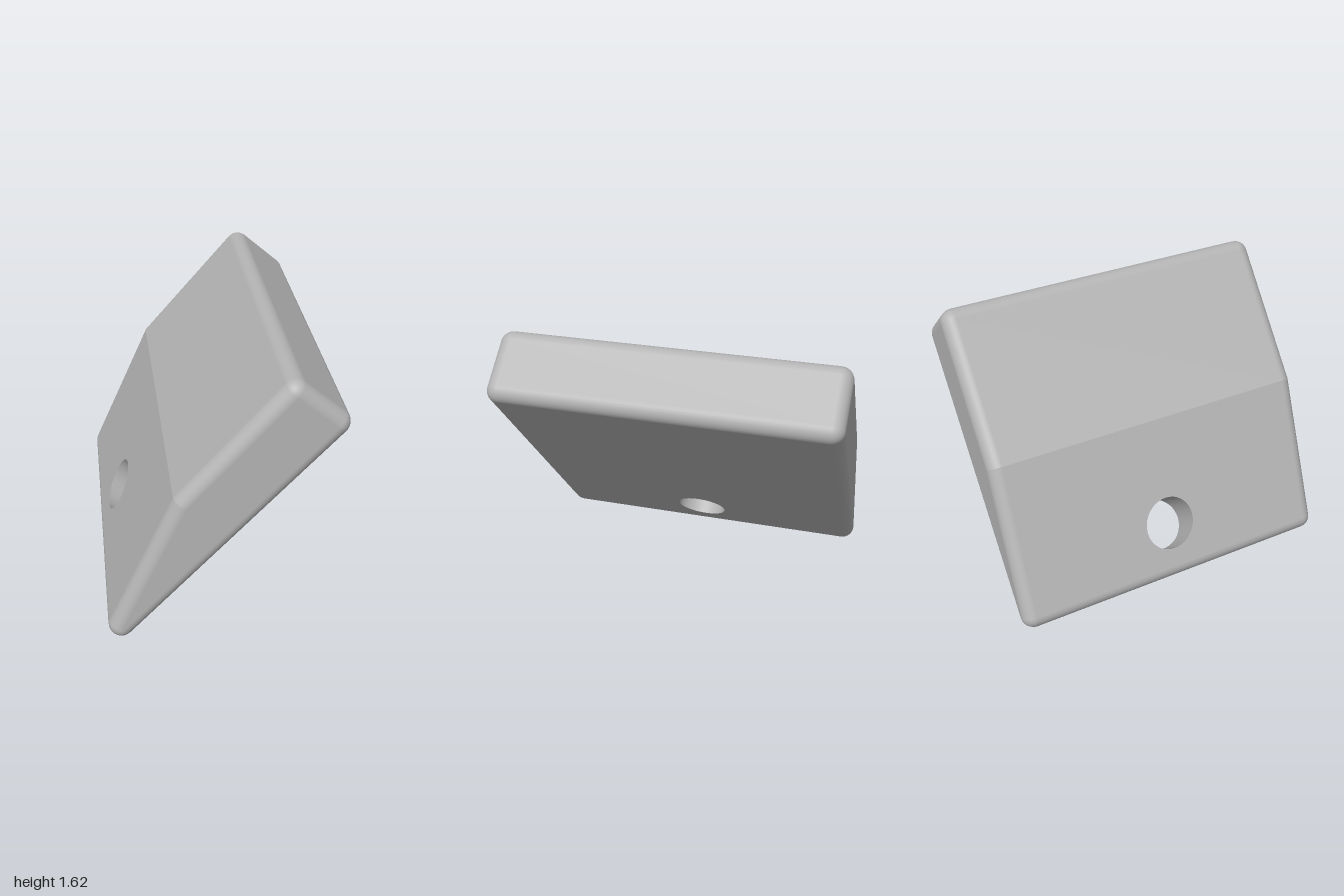
import * as THREE from 'three';

const R = 0.075;        // edge rounding
const ZF = 1 - R;       // half depth of the flat faces
const HOLE_R = 0.155;
const ARC = 8;

// Core polygon (x, y), counter-clockwise; the skin lies R outside it
const core = [[-0.575, 0.075], [0.57, 1.355], [0.35, 1.545], [-0.205, 0.907]]
  .map(([x, y]) => new THREE.Vector2(x, y));
const TIP = 0, KINK = 3;

const edgeNormal = (i) => {
  const d = core[(i + 1) % 4].clone().sub(core[i % 4]).normalize();
  return new THREE.Vector2(d.y, -d.x);
};

// Profile entries: core vertex, offset direction and normal
function makeProfile() {
  const profile = [], edges = [];
  core.forEach((v, i) => {
    const n0 = edgeNormal(i + 3), n1 = edgeNormal(i);
    if (i === KINK) {
      // Sharp crease: mitred offset shared by both faces
      const m = n0.clone().add(n1).divideScalar(1 + n0.dot(n1));
      profile.push({ v, o: m, n: n0 }, { v, o: m, n: n1 });
    } else {
      const a0 = n0.angle();
      const turn = (n1.angle() - a0 + 2 * Math.PI) % (2 * Math.PI);
      for (let k = 0; k <= ARC; k++) {
        const a = a0 + turn * k / ARC;
        const n = new THREE.Vector2(Math.cos(a), Math.sin(a));
        profile.push({ v, o: n, n });
      }
    }
    edges[i] = profile.length - 1; // flat segment that starts here
  });
  return { profile, edges };
}

function buffer(pos, nor, idx) {
  const g = new THREE.BufferGeometry();
  g.setAttribute('position', new THREE.Float32BufferAttribute(pos, 3));
  g.setAttribute('normal', new THREE.Float32BufferAttribute(nor, 3));
  g.setIndex(idx);
  return g;
}

// Rounded skin, leaving open the two flat faces pierced by the hole
function skinGeometry(profile, openSegments) {
  const pos = [], nor = [], idx = [], rings = [];
  for (let k = 0; k <= ARC; k++) rings.push([-Math.PI / 2 * (1 - k / ARC), -ZF]);
  for (let k = 0; k <= ARC; k++) rings.push([Math.PI / 2 * k / ARC, ZF]);
  const n = profile.length;
  rings.forEach(([phi, z], j) => {
    const c = Math.cos(phi), s = Math.sin(phi);
    for (const p of profile) {
      pos.push(p.v.x + R * c * p.o.x, p.v.y + R * c * p.o.y, z + R * s);
      nor.push(p.n.x * c, p.n.y * c, s);
    }
    if (j === rings.length - 1) return;
    for (let i = 0; i < n; i++) {
      if (j === ARC && openSegments.includes(i)) continue;
      const i2 = (i + 1) % n;
      const a = j * n + i, b = j * n + i2;
      idx.push(a, b, b + n, a, b + n, a + n);
    }
  });
  // Flat ends
  const last = (rings.length - 1) * n;
  for (let i = 1; i < n - 1; i++) {
    idx.push(last, last + i, last + i + 1, 0, i + 1, i);
  }
  return buffer(pos, nor, idx);
}

// Flat face with the hole cut out of it
function piercedFace(start, end, loop) {
  const e = end.clone().sub(start), len = e.length();
  e.normalize();
  const shape = new THREE.Shape([[0, -ZF], [len, -ZF], [len, ZF], [0, ZF]]
    .map(([x, y]) => new THREE.Vector2(x, y)));
  shape.holes.push(new THREE.Path(loop.map((p) =>
    new THREE.Vector2((p.x - start.x) * e.x + (p.y - start.y) * e.y, p.z))));
  const m = new THREE.Matrix4().makeBasis(
    new THREE.Vector3(e.x, e.y, 0), new THREE.Vector3(0, 0, 1), new THREE.Vector3(e.y, -e.x, 0));
  m.setPosition(start.x, start.y, 0);
  return new THREE.ShapeGeometry(shape).applyMatrix4(m);
}

export function createModel() {
  const grey = new THREE.MeshStandardMaterial({ color: 0xb4b4b4 });
  grey.name = 'grey';
  const group = new THREE.Group();
  group.name = 'wedgeBlock';
  const add = (name, geometry) => {
    const mesh = new THREE.Mesh(geometry, grey);
    mesh.name = name;
    group.add(mesh);
  };

  const { profile, edges } = makeProfile();
  const skinPoint = (i) => {
    const p = profile[i % profile.length];
    return p.v.clone().addScaledVector(p.o, R);
  };
  const lowA = skinPoint(edges[TIP]), lowB = skinPoint(edges[TIP] + 1);
  const upA = skinPoint(edges[KINK]), upB = skinPoint(edges[KINK] + 1);

  // Hole loops: a circle on the underside, carried square through to the sloping face
  const u = lowB.clone().sub(lowA).normalize();
  const nLow = edgeNormal(TIP), nUp = edgeNormal(KINK);
  const centre = lowA.clone().addScaledVector(u, (0.205 - lowA.y) / u.y);
  const low = [], high = [], pos = [], nor = [], idx = [], N = 48;
  for (let i = 0; i < N; i++) {
    const a = 2 * Math.PI * i / N;
    const p = centre.clone().addScaledVector(u, HOLE_R * Math.cos(a));
    const t = upA.clone().sub(p).dot(nUp) / nLow.dot(nUp);
    const q = p.clone().addScaledVector(nLow, t);
    const z = HOLE_R * Math.sin(a);
    low.push(new THREE.Vector3(p.x, p.y, z));
    high.push(new THREE.Vector3(q.x, q.y, z));
    pos.push(p.x, p.y, z, q.x, q.y, z);
    for (let k = 0; k < 2; k++) nor.push(-u.x * Math.cos(a), -u.y * Math.cos(a), -Math.sin(a));
    const b = 2 * i, c = 2 * ((i + 1) % N);
    idx.push(b, c, c + 1, b, c + 1, b + 1);
  }

  add('roundedBody', skinGeometry(profile, [edges[TIP], edges[KINK]]));
  add('underside', piercedFace(lowA, lowB, low));
  add('slopingFace', piercedFace(upA, upB, high));
  add('holeWall', buffer(pos, nor, idx));
  return group;
}
